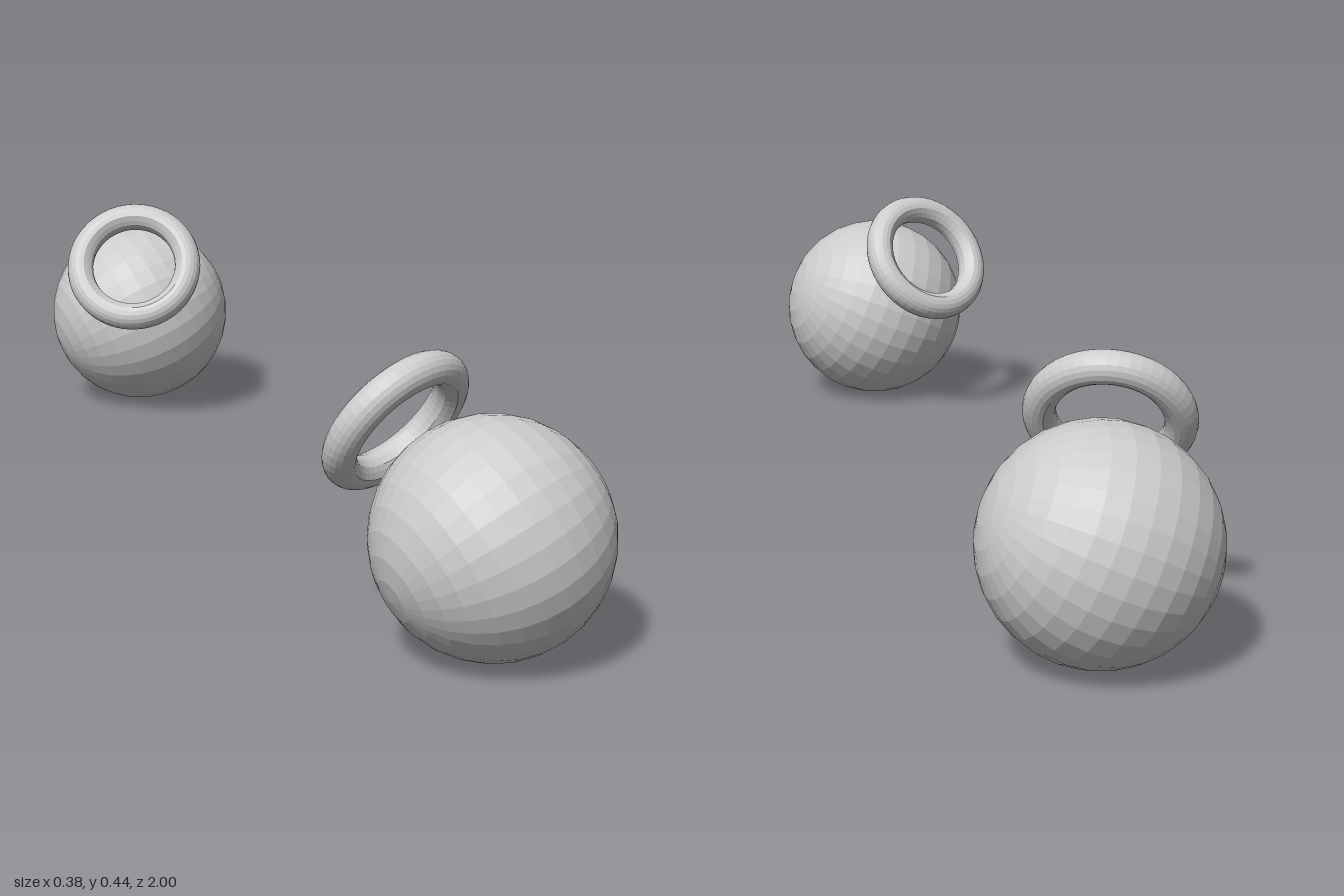
import * as THREE from 'three';

const UP = new THREE.Vector3(0, 1, 0);

// Closed ring profile: rounded outside, creased shoulders, narrow inner wall.
function ringGeometry() {
  const pts = [];
  const start = -1.83, steps = 12;
  for (let i = 0; i <= steps; i++) {
    const a = start - (2 * start * i) / steps;
    pts.push(new THREE.Vector2(0.1065 + 0.028 * Math.cos(a), 0.028 * Math.sin(a)));
  }
  for (const [r, y] of [[0.091, 0.02], [0.085, 0.013], [0.083, 0], [0.085, -0.013], [0.091, -0.02]]) {
    pts.push(new THREE.Vector2(r, y));
  }
  pts.push(pts[0].clone());
  return new THREE.LatheGeometry(pts, 48);
}

export function createModel() {
  const model = new THREE.Group();
  model.name = 'ballsWithRings';
  const material = new THREE.MeshStandardMaterial({ color: 0xcccccc, flatShading: true });
  const ballGeo = new THREE.SphereGeometry(0.1835, 32, 16);
  const ringGeo = ringGeometry();

  // Two mirrored pairs, with the rings tilted towards the middle
  for (const side of [1, -1]) {
    const pair = new THREE.Group();
    pair.name = side > 0 ? 'frontPair' : 'backPair';

    const ball = new THREE.Mesh(ballGeo, material);
    ball.name = 'ball';
    ball.position.set(0.0065, 0.1835, 0.8165 * side);
    ball.quaternion.setFromUnitVectors(UP, new THREE.Vector3(0.91, 0.4, -0.06 * side).normalize());

    const ring = new THREE.Mesh(ringGeo, material);
    ring.name = 'ring';
    ring.position.set(-0.065, 0.3215, 0.632 * side);
    ring.quaternion.setFromUnitVectors(UP, new THREE.Vector3(-0.335, 0.54, -0.772 * side).normalize());

    pair.add(ball, ring);
    model.add(pair);
  }
  return model;
}
